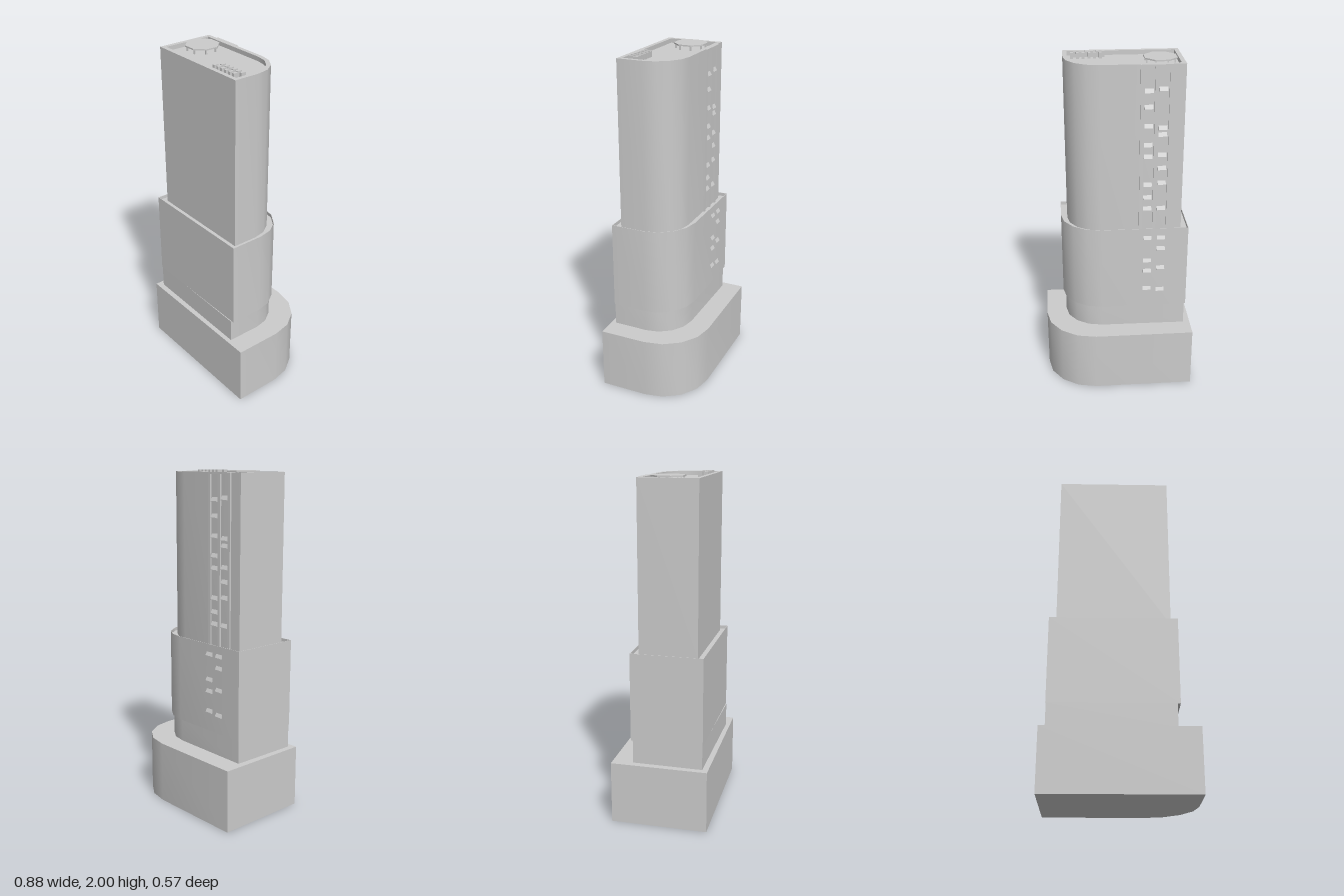
import * as THREE from 'three';
import { toCreasedNormals } from 'three/addons/utils/BufferGeometryUtils.js';

const material = new THREE.MeshStandardMaterial({ color: 0xcccccc });

function add(parent, name, geometry, x = 0, y = 0, z = 0) {
  const mesh = new THREE.Mesh(geometry, material);
  mesh.name = name;
  mesh.position.set(x, y, z);
  parent.add(mesh);
  return mesh;
}

// Floor plan: a rectangle whose back left corner is a four-segment quarter ellipse
// starting at xc on the back wall and ending at zc on the left wall.
function plan({ x0, x1, zb, zf, xc, zc }, inset = 0) {
  const left = x1 - inset, back = zb + inset;
  const pts = [
    new THREE.Vector2(x0 + inset, -(zf - inset)),
    new THREE.Vector2(left, -(zf - inset)),
  ];
  for (let i = 0; i <= 4; i++) {
    const a = (i / 4) * Math.PI / 2;
    pts.push(new THREE.Vector2(
      xc + (left - xc) * Math.cos(a),
      -zc + (zc - back) * Math.sin(a)));
  }
  pts.push(new THREE.Vector2(x0 + inset, -back));
  return pts;
}

// Extrudes a plan upward, smoothing only the rounded corner
function storey(points, y0, y1, hole) {
  const shape = new THREE.Shape(points);
  if (hole) shape.holes.push(new THREE.Path(hole));
  const g = new THREE.ExtrudeGeometry(shape, { depth: y1 - y0, bevelEnabled: false });
  g.rotateX(-Math.PI / 2).translate(0, y0, 0);
  return toCreasedNormals(g, 0.5);
}

// Block with a parapet wall standing above a recessed deck
function walledBlock(parent, name, spec, y0, y1, wall, deckY) {
  const inner = plan(spec, wall);
  add(parent, name + 'Walls', storey(plan(spec), y0, y1, inner));
  add(parent, name + 'Deck', storey(inner, y0, deckY));
}

// Small wedge with a sloping top, its flat back on z = 0, projecting to -z
function awningGeometry(width, height, depth) {
  const s = new THREE.Shape();
  s.moveTo(0, 0);
  s.lineTo(depth, 0);
  s.lineTo(depth, height * 0.15);
  s.lineTo(0, height);
  const g = new THREE.ExtrudeGeometry(s, { depth: width, bevelEnabled: false });
  return g.translate(0, 0, -width / 2).rotateY(Math.PI / 2);
}

export function createModel() {
  const model = new THREE.Group();
  model.name = 'skyscraper';

  // Stacked building masses
  add(model, 'podium', storey(
    plan({ x0: -0.44, x1: 0.44, zb: -0.285, zf: 0.282, xc: 0.145, zc: 0.005 }), 0, 0.37));
  const neck = add(model, 'neck', storey(
    plan({ x0: -0.402, x1: 0.318, zb: -0.158, zf: 0.252, xc: 0.1, zc: 0.05 }), 0.37, 0.51));
  neck.rotation.y = -0.011;
  walledBlock(model, 'middleBlock',
    { x0: -0.407, x1: 0.333, zb: -0.172, zf: 0.25, xc: 0.1, zc: 0.053 }, 0.51, 1.03, 0.003, 1.01);
  walledBlock(model, 'tower',
    { x0: -0.367, x1: 0.295, zb: -0.13, zf: 0.21, xc: 0.1, zc: 0.06 }, 1.01, 1.99, 0.025, 1.965);

  // Vertical ribs on the back wall, tied by a cap
  const ribs = new THREE.Group();
  ribs.name = 'backRibs';
  model.add(ribs);
  for (const x of [-0.286, -0.206, -0.127]) {
    add(ribs, 'rib', new THREE.BoxGeometry(0.018, 0.97, 0.014), x, 1.495, -0.133);
  }
  add(ribs, 'ribCap', new THREE.BoxGeometry(0.177, 0.01, 0.014), -0.2065, 1.985, -0.133);

  // Awnings in two columns, on the tower and on the middle block
  const awnings = new THREE.Group();
  awnings.name = 'awnings';
  model.add(awnings);
  const awning = awningGeometry(0.048, 0.026, 0.012);
  const columns = [
    { x: -0.166, z: -0.13, ys: [1.83, 1.74, 1.63, 1.52, 1.45, 1.28, 1.2, 1.13] },
    { x: -0.246, z: -0.13, ys: [1.84, 1.62, 1.58, 1.46, 1.38, 1.29, 1.13] },
    { x: -0.166, z: -0.171, ys: [0.96, 0.81, 0.74, 0.62] },
    { x: -0.246, z: -0.171, ys: [0.96, 0.89, 0.76, 0.61] },
  ];
  for (const { x, z, ys } of columns) {
    for (const y of ys) add(awnings, 'awning', awning, x, y, z);
  }

  // Octagonal landing pad on short legs
  const pad = new THREE.Group();
  pad.name = 'landingPad';
  pad.position.set(-0.241, 0, 0.013);
  model.add(pad);
  const octagon = new THREE.CylinderGeometry(0.098, 0.098, 0.008, 8).rotateY(Math.PI / 8);
  add(pad, 'padDeck', toCreasedNormals(octagon, 0.5), 0, 1.994, 0);
  for (let i = 0; i < 8; i++) {
    const a = (i + 0.5) * Math.PI / 4;
    add(pad, 'padLeg', new THREE.BoxGeometry(0.008, 0.028, 0.008),
      0.085 * Math.cos(a), 1.977, 0.085 * Math.sin(a));
  }

  // Two staggered rows of rooftop cooling units
  const units = new THREE.Group();
  units.name = 'coolingUnits';
  model.add(units);
  for (const [x0, z] of [[0.083, 0.121], [0.066, 0.157]]) {
    for (let i = 0; i < 6; i++) {
      add(units, 'coolingUnit', new THREE.BoxGeometry(0.016, 0.034, 0.028),
        x0 + i * 0.032, 1.981, z);
    }
  }
  return model;
}
